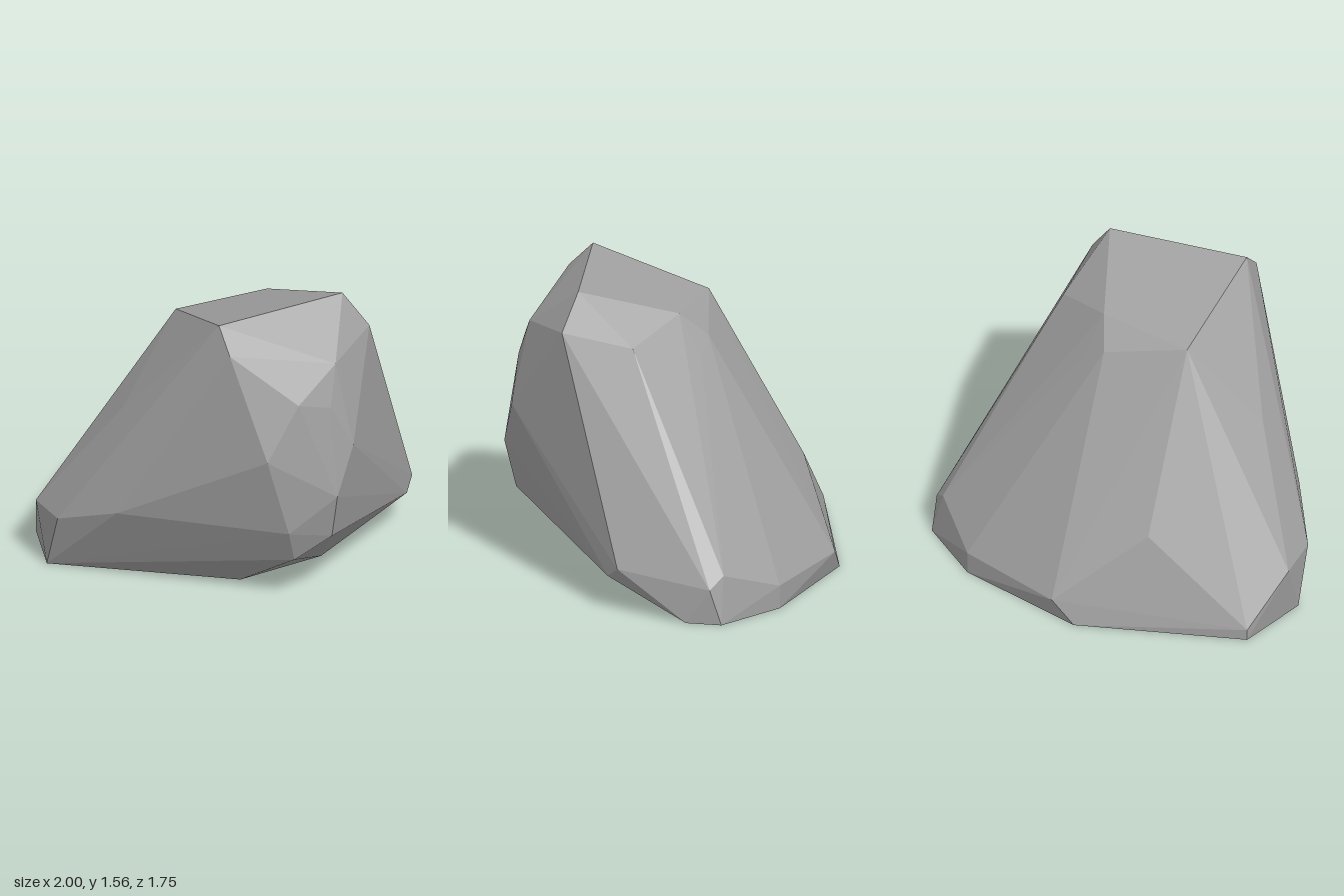
import * as THREE from 'three';
import { ConvexGeometry } from 'three/addons/geometries/ConvexGeometry.js';

export function createModel() {
  const group = new THREE.Group();
  group.name = 'rock';
  const stone = new THREE.MeshStandardMaterial({ color: 0xa0a0a0 });
  stone.name = 'stone grey';

  // Corners of the faceted boulder, from the ground up
  const ground = [
    [1, 0, -0.4375], [1, 0, -0.25], [0.3125, 0, 0.3125], [-0.1875, 0, 0.375],
    [-1, 0, -0.25], [-0.875, 0, -0.625], [0, 0, -0.875], [0.6875, 0, -0.6875],
  ];
  const foot = [
    [-0.875, 0.0625, -0.625], [0.125, 0.125, -0.875], [0.6875, 0.125, -0.6875],
    [1, 0.1875, -0.375], [0.9375, 0.25, -0.4375], [0.9375, 0.25, 0.125],
    [0.875, 0.1875, 0.1875], [-0.0625, 0.25, 0.75], [0.125, 0.375, 0.8125],
    [-0.125, 0.4375, 0.8125], [-0.8125, 0.4375, 0.1875],
    [-1, 0.3125, -0.125], [-1, 0.3125, -0.375],
  ];
  const middle = [
    [-0.3125, 0.5, -0.625], [0.125, 0.625, 0.875], [-0.25, 0.875, 0.8125],
    [0.25, 0.875, 0.8125], [-0.6875, 0.9375, 0], [0.125, 1.11, 0.8],
    [-0.0625, 1.16, 0.8], [0.25, 1.19, -0.19],
  ];
  const crown = [
    [0.125, 1.28, -0.205], [0.1875, 1.32, 0.73], [0.5, 1.3125, 0.125],
    [0.5, 1.375, 0.5], [-0.3125, 1.375, -0.125], [0.1875, 1.41, -0.0625],
    [-0.375, 1.4375, 0.625], [0.375, 1.5625, 0.4375], [-0.375, 1.5625, 0.5],
  ];

  // Flat facets stretched over all corners
  const corners = [...ground, ...foot, ...middle, ...crown].map((p) => new THREE.Vector3(...p));
  const boulder = new THREE.Mesh(new ConvexGeometry(corners), stone);
  boulder.name = 'boulder';
  group.add(boulder);
  return group;
}
